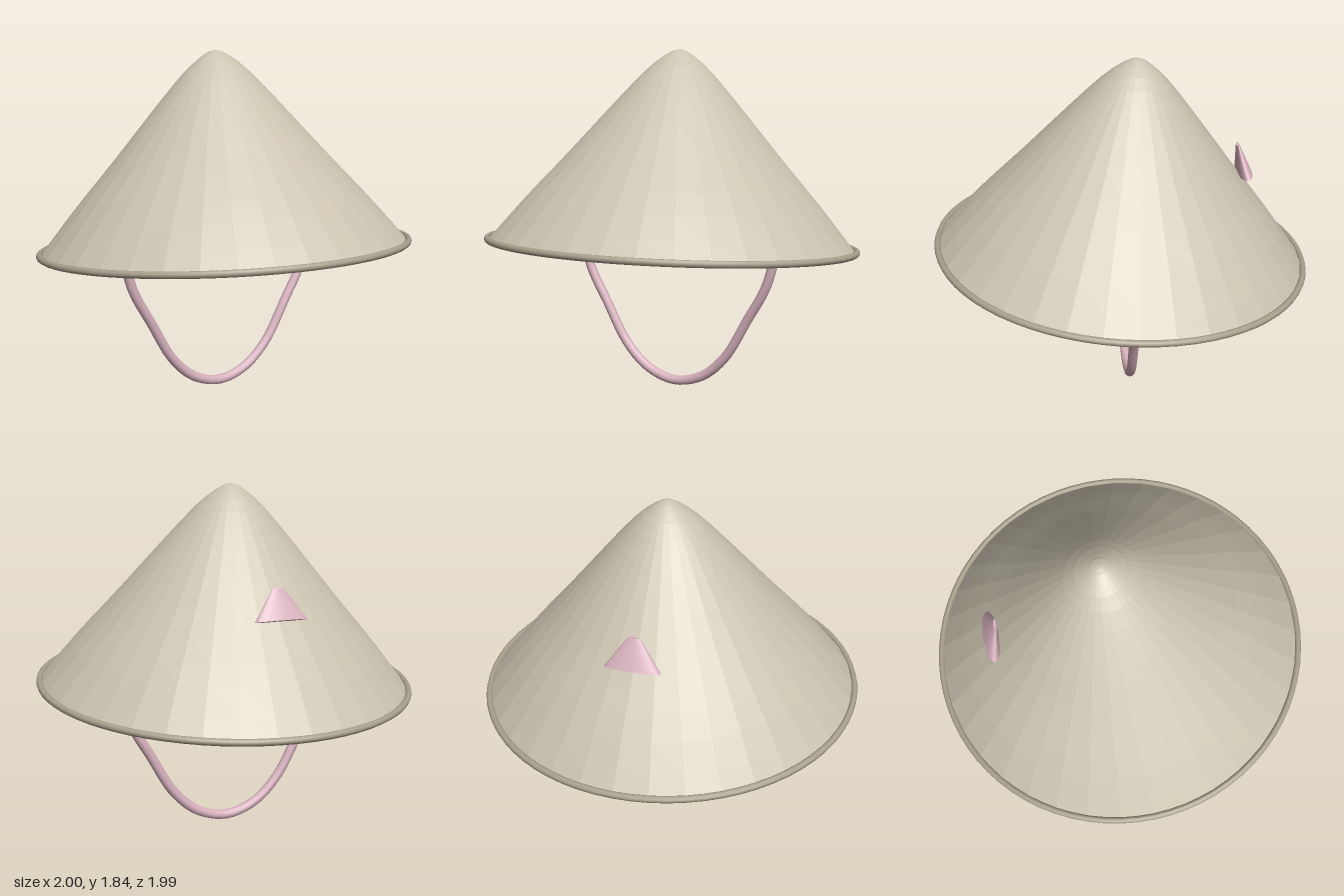
import * as THREE from 'three';

const strawMat = new THREE.MeshStandardMaterial({ name: 'straw', color: 0xcbc3b0, side: THREE.DoubleSide, flatShading: true });
const rimMat = new THREE.MeshStandardMaterial({ name: 'rimStraw', color: 0xa8a08c });
const pinkMat = new THREE.MeshStandardMaterial({ name: 'pinkCord', color: 0xd8b2be });

function part(name, geometry, material, parent) {
  const mesh = new THREE.Mesh(geometry, material);
  mesh.name = name;
  parent.add(mesh);
  return mesh;
}

export function createModel() {
  const model = new THREE.Group();
  model.name = 'conicalHat';

  // Hat leans back slightly, so crown and rim share one tilted group
  const hat = new THREE.Group();
  hat.name = 'hat';
  hat.position.y = 0.805;
  hat.rotation.x = -0.08;
  model.add(hat);

  // Gently bulging cone with a softened tip
  const profile = new THREE.SplineCurve([
    [0.975, 0], [0.785, 0.23], [0.586, 0.453], [0.331, 0.748], [0.16, 0.935], [0.05, 1.02], [0, 1.036],
  ].map(([r, h]) => new THREE.Vector2(r, h))).getPoints(14);
  profile[profile.length - 1].x = 0;
  part('crown', new THREE.LatheGeometry(profile, 36), strawMat, hat);

  // Bound edge
  part('rim', new THREE.TorusGeometry(0.983, 0.017, 10, 72).rotateX(Math.PI / 2), rimMat, hat);

  // Chin strap hanging between two points inside the crown
  const half = [[0.63, 1.03], [0.605, 0.84], [0.55, 0.62], [0.44, 0.42], [0.31, 0.2], [0.17, 0.075]];
  const points = [
    ...half.map(([x, y]) => [-x, y]),
    [0, 0.027],
    ...half.slice().reverse(),
  ].map(([x, y]) => new THREE.Vector3(x, y, -0.03 + 0.012 * y));
  part('chinStrap', new THREE.TubeGeometry(new THREE.CatmullRomCurve3(points), 72, 0.026, 12), pinkMat, model);
  for (const end of [points[0], points[points.length - 1]]) {
    part('strapEnd', new THREE.SphereGeometry(0.026, 12, 8), pinkMat, model).position.copy(end);
  }

  // Flattened tab on the back of the crown
  const tab = part('backTab', new THREE.CylinderGeometry(0.03, 0.14, 0.155, 24), pinkMat, model);
  tab.scale.z = 0.28;
  tab.rotation.x = 0.25;
  tab.position.set(0, 1.285, -0.632);

  return model;
}
